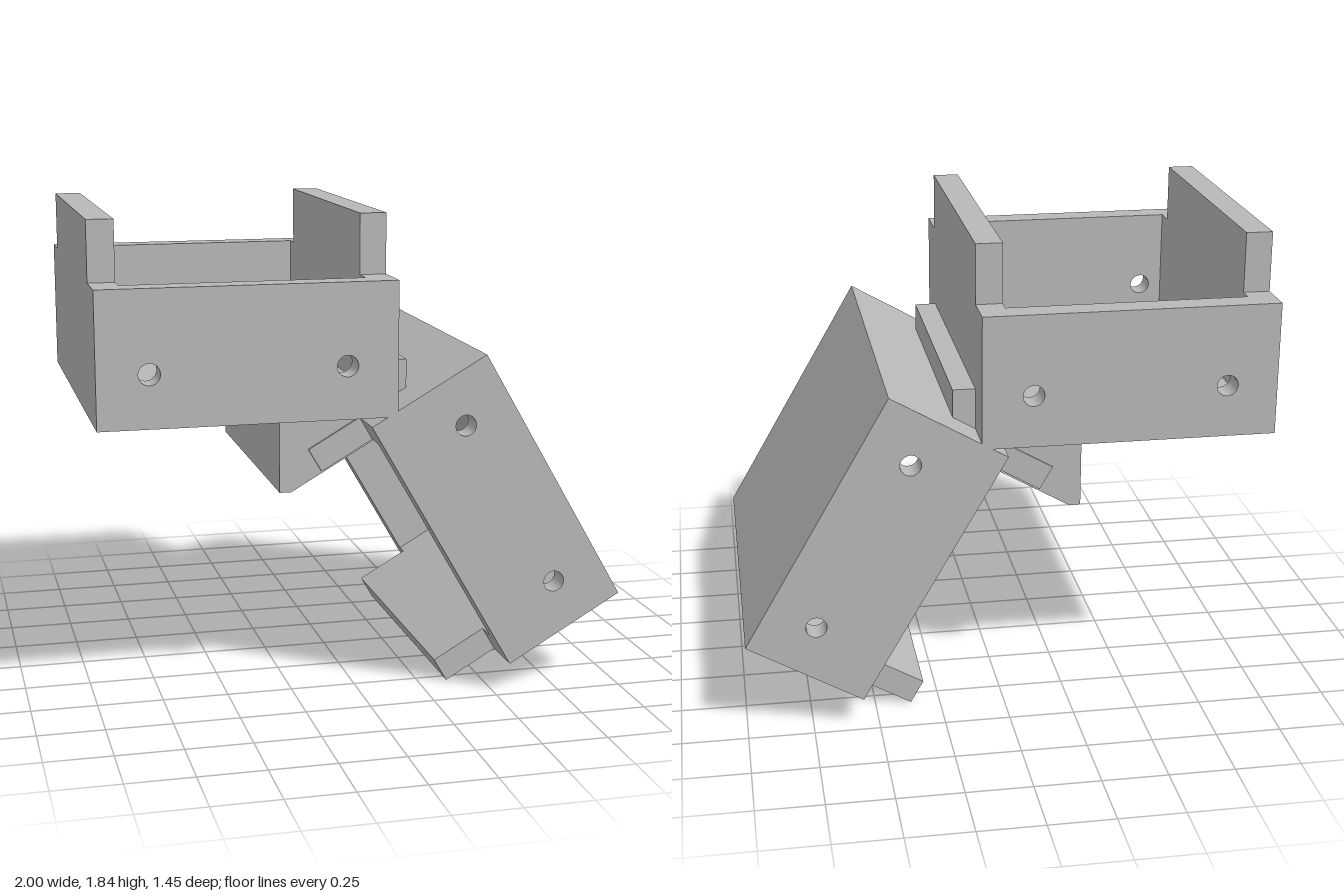
import * as THREE from 'three';

const grey = new THREE.MeshStandardMaterial({ color: 0xb8b8b8 });
grey.name = 'plain grey';

// Tray dimensions
const HALF_W = 0.5525, HALF_D = 0.727, HEIGHT = 0.505, WALL = 0.1, TAB_TOP = 0.732;
const TAB_BACK = -0.572, TAB_FRONT = 0.545;

function polygon(points) {
  return new THREE.Shape(points.map(([x, y]) => new THREE.Vector2(x, y)));
}

function extrude(name, shape, depth) {
  const geometry = new THREE.ExtrudeGeometry(shape, { depth, bevelEnabled: false, curveSegments: 16 });
  const mesh = new THREE.Mesh(geometry, grey);
  mesh.name = name;
  return mesh;
}

// Open tray with drilled side walls and a raised tab on each end wall
function makeTray(name) {
  const tray = new THREE.Group();
  tray.name = name;

  const innerW = HALF_W - WALL, innerD = HALF_D - WALL;
  const floor = new THREE.Mesh(new THREE.BoxGeometry(innerW * 2, WALL, innerD * 2), grey);
  floor.name = 'floor';
  floor.position.y = WALL / 2;
  tray.add(floor);

  // Side walls, each with two screw holes
  for (const [wallName, z] of [['frontWall', innerD], ['backWall', -HALF_D]]) {
    const shape = polygon([[-HALF_W, 0], [HALF_W, 0], [HALF_W, HEIGHT], [-HALF_W, HEIGHT]]);
    for (const x of [-0.362, 0.362]) {
      shape.holes.push(new THREE.Path().absarc(x, 0.198, 0.04, 0, Math.PI * 2, true));
    }
    const wall = extrude(wallName, shape, WALL);
    wall.position.z = z;
    tray.add(wall);
  }

  // End walls with stepped tabs, drawn in (-z, y) and turned to face x
  for (const [wallName, x] of [['rightEndWall', -HALF_W], ['leftEndWall', innerW]]) {
    const shape = polygon([
      [-innerD, 0], [innerD, 0], [innerD, HEIGHT], [-TAB_BACK, HEIGHT], [-TAB_BACK, TAB_TOP],
      [-TAB_FRONT, TAB_TOP], [-TAB_FRONT, HEIGHT], [-innerD, HEIGHT],
    ]);
    const wall = extrude(wallName, shape, WALL);
    wall.rotation.y = Math.PI / 2;
    wall.position.x = x;
    tray.add(wall);
  }
  return tray;
}

export function createModel() {
  const model = new THREE.Group();
  model.name = 'hingedTrays';

  const upper = makeTray('upperTray');
  upper.position.set(-0.4475, 1.11, 0);

  const lower = makeTray('lowerTray');
  lower.position.set(0.72, 0.85, 0);
  lower.rotation.z = Math.PI * 2 / 3;

  // Connector block joining the two trays
  const connector = extrude('connectorBlock', polygon([
    [-0.3, 0.8], [-0.255, 0.8], [0.19, 1.057], [0.19, 1.29],
    [0.1, 1.29], [0.1, 1.15], [-0.3, 1.15],
  ]), 1.1);
  connector.position.z = -0.565;

  model.add(upper, lower, connector);
  return model;
}
